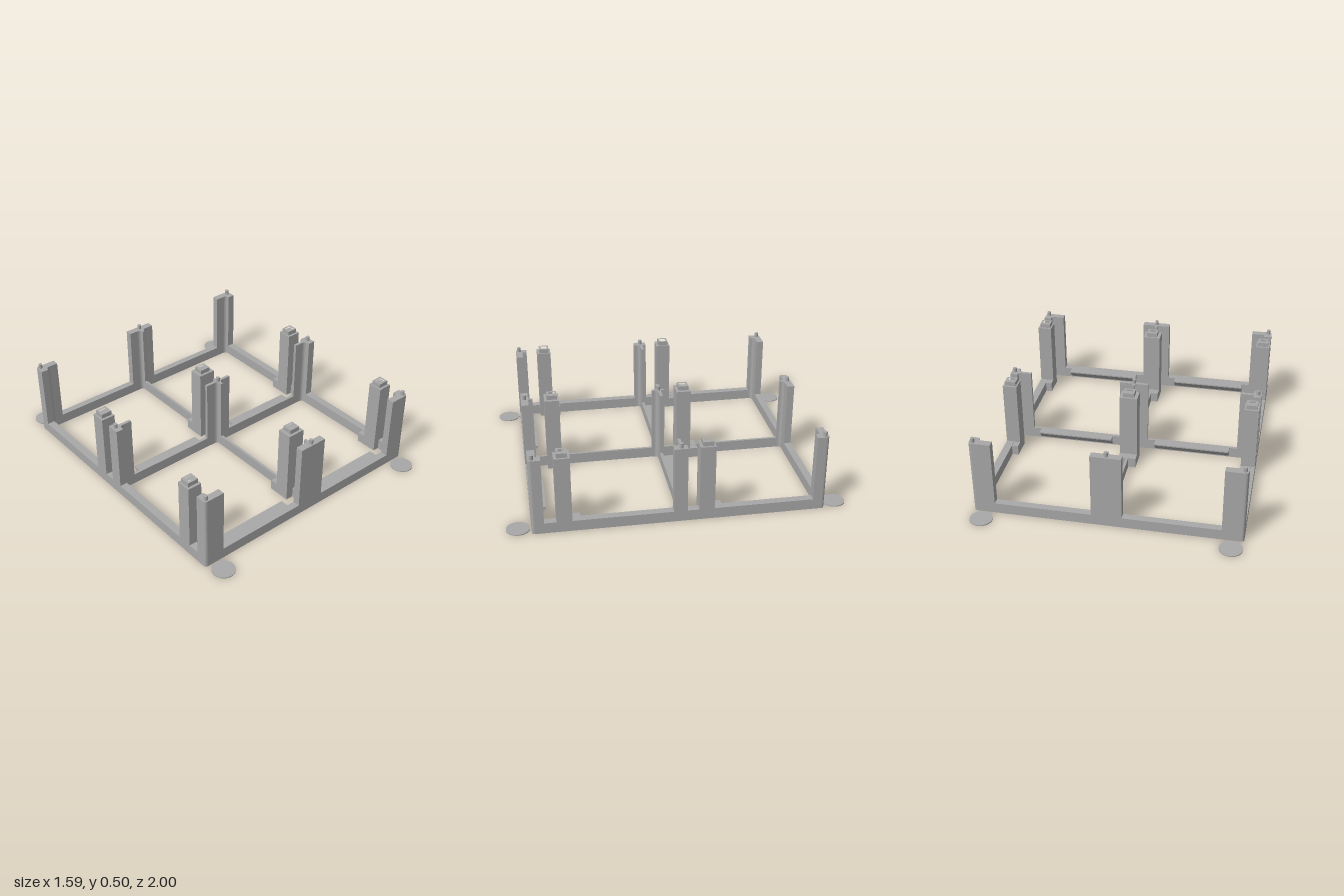
import * as THREE from 'three';

const RAIL = 0.065, POST = 0.468, TOP = 0.495;
const X = 0.795, XI = 0.747, Z = 0.856, ZI = 0.812, T = 0.008;
const MID0 = -0.014, MID1 = 0.005; // thin middle cross rail, z range
const R = 0.02;

export function createModel() {
  const model = new THREE.Group();
  const grey = new THREE.MeshStandardMaterial({ color: 0xa8a8a8 });

  const add = (name, geometry) => {
    const mesh = new THREE.Mesh(geometry, grey);
    mesh.name = name;
    model.add(mesh);
    return mesh;
  };
  // Upright prism from a plan drawn in (x, -z)
  const prism = (name, shape, y0, y1) => {
    const g = new THREE.ExtrudeGeometry(shape, { depth: y1 - y0, bevelEnabled: false, curveSegments: 6 });
    g.rotateX(-Math.PI / 2);
    g.translate(0, y0, 0);
    return add(name, g);
  };
  const plan = (pts) => new THREE.Shape(pts.map(([x, z]) => new THREE.Vector2(x, -z)));
  const rect = (x0, x1, z0, z1) => plan([[x0, z0], [x1, z0], [x1, z1], [x0, z1]]);
  const hole = (shape, x, z, r) => {
    shape.holes.push(new THREE.Path().absarc(x, -z, r, 0, Math.PI * 2, true));
    return shape;
  };
  const box = (name, x0, x1, y0, y1, z0, z1) => {
    const g = new THREE.BoxGeometry(x1 - x0, y1 - y0, z1 - z0);
    g.translate((x0 + x1) / 2, (y0 + y1) / 2, (z0 + z1) / 2);
    return add(name, g);
  };
  const pin = (x, z) => {
    const g = new THREE.CylinderGeometry(0.012, 0.012, TOP - POST, 16);
    g.translate(x, (TOP + POST) / 2, z);
    add('locatingPin', g);
  };
  // Concave fillet in an inner corner opening toward (dx, +z)
  const fillet = (x, z, dx) => {
    const s = new THREE.Shape();
    s.moveTo(x, -z);
    s.lineTo(x + dx * 0.025, -z);
    s.quadraticCurveTo(x, -z, x, -z - 0.025);
    s.closePath();
    prism('postFillet', s, 0, POST);
  };

  // Base frame: rounded outline with four openings
  const base = new THREE.Shape();
  base.moveTo(-X + R, -Z);
  base.lineTo(X - R, -Z);
  base.quadraticCurveTo(X, -Z, X, -Z + R);
  base.lineTo(X, Z - R);
  base.quadraticCurveTo(X, Z, X - R, Z);
  base.lineTo(-X + R, Z);
  base.quadraticCurveTo(-X, Z, -X, Z - R);
  base.lineTo(-X, -Z + R);
  base.quadraticCurveTo(-X, -Z, -X + R, -Z);
  for (const [x0, x1] of [[-XI, -T], [T, XI]])
    for (const [z0, z1] of [[-ZI, MID0], [MID1, ZI]])
      base.holes.push(rect(x0, x1, z0, z1));
  prism('baseFrame', base, 0, RAIL);

  for (const s of [-1, 1]) {
    // L-shaped corner posts with a rounded outer edge
    for (const f of [-1, 1]) {
      const p = new THREE.Shape();
      p.moveTo(s * (X - R), -f * Z);
      p.lineTo(s * 0.665, -f * Z);
      p.lineTo(s * 0.665, -f * ZI);
      p.lineTo(s * XI, -f * ZI);
      p.lineTo(s * XI, -f * 0.785);
      p.lineTo(s * X, -f * 0.785);
      p.lineTo(s * X, -f * (Z - R));
      p.quadraticCurveTo(s * X, -f * Z, s * (X - R), -f * Z);
      prism('cornerPost', p, RAIL, POST);
      pin(s * 0.773, f * 0.835);

      // Thin ground pads at the corners
      const pad = add('groundPad', new THREE.CylinderGeometry(0.068, 0.068, 0.006, 40));
      pad.position.set(s * 0.728, 0.003, f * 0.932);
    }
    // T-shaped posts halfway along the sides
    prism('sideMiddlePost', plan([[s * X, -0.037], [s * X, 0.042], [s * XI, 0.042], [s * XI, MID1],
      [s * 0.665, MID1], [s * 0.665, MID0], [s * XI, MID0], [s * XI, -0.037]]), RAIL, POST);
    pin(s * 0.773, 0);

    for (const z of [-ZI, MID1]) {
      fillet(s * XI, z, -s);
      fillet(s * T, z, s);
    }
  }

  // T-shaped posts at the centre of front and back
  for (const f of [-1, 1]) {
    prism('endMiddlePost', plan([[-0.09, f * Z], [0.09, f * Z], [0.09, f * ZI], [T, f * ZI],
      [T, f * 0.785], [-T, f * 0.785], [-T, f * ZI], [-0.09, f * ZI]]), RAIL, POST);
    pin(0, f * 0.835);
  }

  // Cross-shaped centre post
  prism('centrePost', plan([[-0.09, MID0], [-T, MID0], [-T, -0.037], [T, -0.037], [T, MID0], [0.09, MID0],
    [0.09, MID1], [T, MID1], [T, 0.042], [-T, 0.042], [-T, MID1], [-0.09, MID1]]), RAIL, POST);
  pin(0, 0);

  // Hollow columns with a square collar and a low foot behind
  for (const zc of [-0.154, 0.668])
    for (const [x0, x1, xc] of [[-X, -0.707, -0.75], [-0.055, 0.055, 0], [0.707, X, 0.75]]) {
      const z0 = zc - 0.043, z1 = zc + 0.047, h = 0.034;
      prism('column', hole(rect(x0, x1, z0, z1), xc, zc, 0.016), 0, POST);
      const collar = rect(xc - h, xc + h, zc - 0.031, zc + 0.031);
      collar.holes.push(rect(xc - 0.019, xc + 0.019, zc - 0.019, zc + 0.019));
      prism('columnCollar', collar, POST, TOP);
      box('columnFoot', x0, x1, 0, RAIL - 0.002, zc - 0.092, z0);
    }

  // Support lips with a sloping underside, behind the front and middle rails
  for (const [z, d] of [[ZI, 0.05], [MID0, 0.048]])
    for (const x0 of [-0.617, 0.14]) {
      const lip = new THREE.Shape([[-z, 0.006], [-z + d, 0.057], [-z + d, RAIL], [-z, RAIL]]
        .map(([a, y]) => new THREE.Vector2(a, y)));
      const g = new THREE.ExtrudeGeometry(lip, { depth: 0.477, bevelEnabled: false });
      g.rotateY(Math.PI / 2);
      g.translate(x0, 0, 0);
      add('supportLip', g);
    }

  return model;
}
